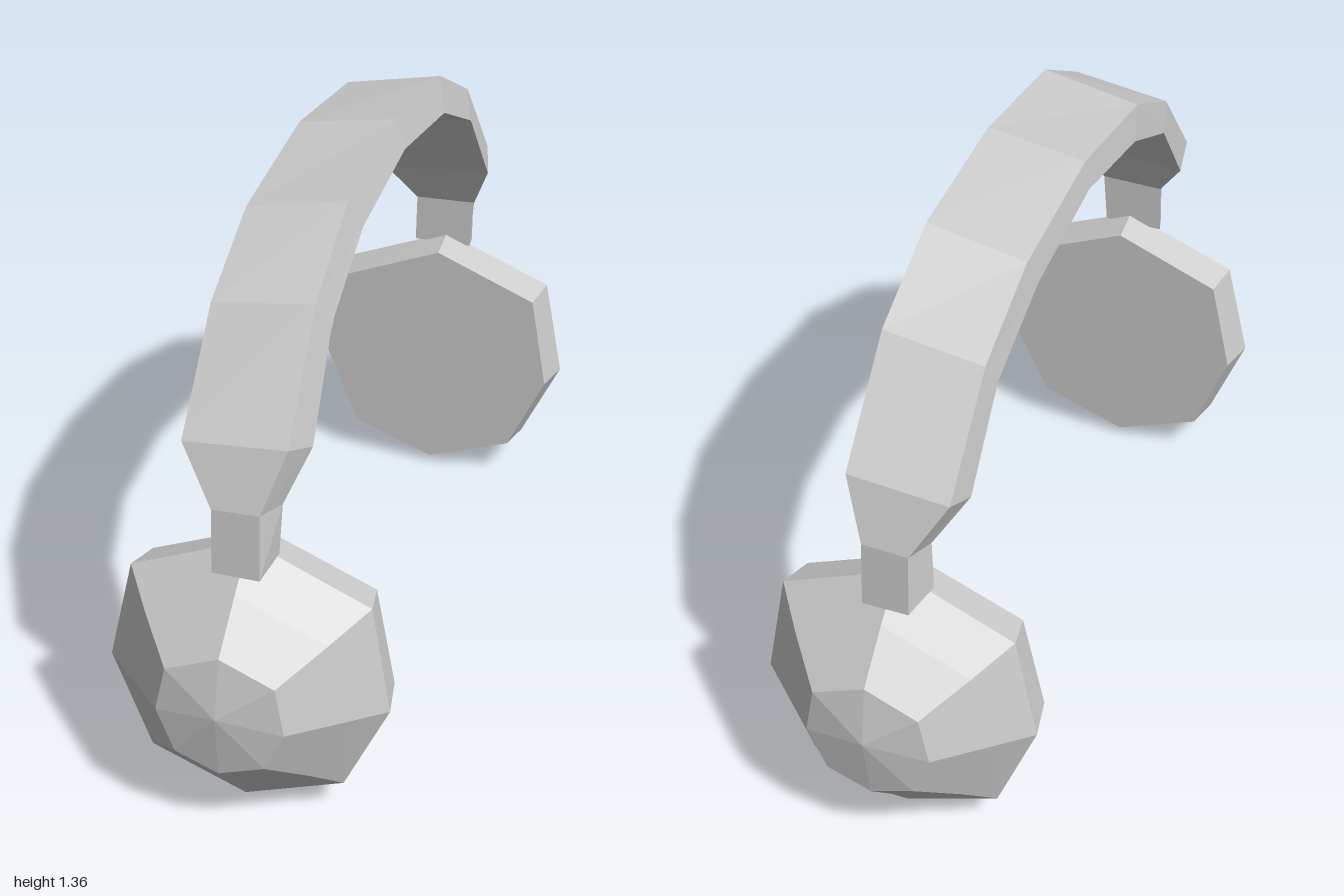
import * as THREE from 'three';

const material = new THREE.MeshStandardMaterial({ color: 0xcccccc, flatShading: true });

// Skin over matching rings of points; each end closes onto a centre point.
function loft(name, rings, startPoint, endPoint) {
  const pos = [];
  const tri = (...pts) => pts.forEach((p) => pos.push(...p));
  const n = rings[0].length;
  const last = rings.length - 1;
  const middle = (ring) => [0, 1, 2].map((k) => ring.reduce((s, p) => s + p[k], 0) / n);
  const start = startPoint || middle(rings[0]);
  const end = endPoint || middle(rings[last]);
  for (let j = 0; j < n; j++) {
    const k = (j + 1) % n;
    for (let i = 0; i < last; i++) {
      const [a, b, c, d] = [rings[i][j], rings[i][k], rings[i + 1][k], rings[i + 1][j]];
      tri(a, b, c);
      tri(a, c, d);
    }
    tri(start, rings[0][k], rings[0][j]);
    tri(end, rings[last][j], rings[last][k]);
  }
  const geometry = new THREE.BufferGeometry();
  geometry.setAttribute('position', new THREE.Float32BufferAttribute(pos, 3));
  geometry.computeVertexNormals();
  const mesh = new THREE.Mesh(geometry, material);
  mesh.name = name;
  return mesh;
}

// Domed eight-sided ear cup; side is +1 at the front, -1 at the back.
function earCup(name, side) {
  const cy = 0.36;
  const outline = [
    [0.33, 0.31], [0.285, 0.57], [0.005, 0.685], [-0.275, 0.57],
    [-0.33, 0.32], [-0.237, 0.09], [-0.01, 0.005], [0.225, 0.09],
  ];
  // scale of the outline, depth, backward lean with height
  const profile = [[0.94, 0.69, 0], [1, 0.787, 0.04], [0.755, 0.871, 0.01], [0.45, 0.973, 0.01]];
  const rings = profile.map(([s, z, lean]) => {
    const ring = outline.map(([x, y]) => [x * s, cy + (y - cy) * s, side * (z - lean * (y - cy))]);
    return side > 0 ? ring : ring.reverse();
  });
  return loft(name, rings, null, [0, 0.365, side]);
}

// Tapered, slightly slanted headband with a narrow neck at each end.
function headband() {
  // outer z, outer y, inner z, inner y, outer x left/right edge, inner x left/right edge, slant
  const half = [
    [0.85, 0.64, 0.765, 0.66, -0.055, 0.055, -0.08, 0.07, 0],
    [0.84, 0.80, 0.765, 0.79, -0.055, 0.055, -0.077, 0.08, 0.005],
    [0.795, 0.945, 0.708, 0.91, -0.135, 0.105, -0.147, 0.13, 0.02],
    [0.595, 1.19, 0.552, 1.125, -0.137, 0.1, -0.148, 0.122, 0.035],
    [0.36, 1.32, 0.32, 1.243, -0.14, 0.095, -0.15, 0.117, 0.047],
    [0, 1.36, 0, 1.288, -0.14, 0.095, -0.15, 0.115, 0.039],
  ];
  const section = (s, side) => {
    const [oz, oy, iz, iy, oxl, oxr, ixl, ixr, slant] = s;
    return [
      [oxl, oy - slant, side * oz], [oxr, oy, side * oz],
      [ixr, iy, side * iz], [ixl, iy - slant, side * iz],
    ];
  };
  const front = half.map((s) => section(s, 1));
  const back = half.slice(0, -1).reverse().map((s) => section(s, -1));
  return loft('headband', [...front, ...back]);
}

export function createModel() {
  const group = new THREE.Group();
  group.name = 'headphones';
  group.add(headband(), earCup('frontEarCup', 1), earCup('backEarCup', -1));
  return group;
}
